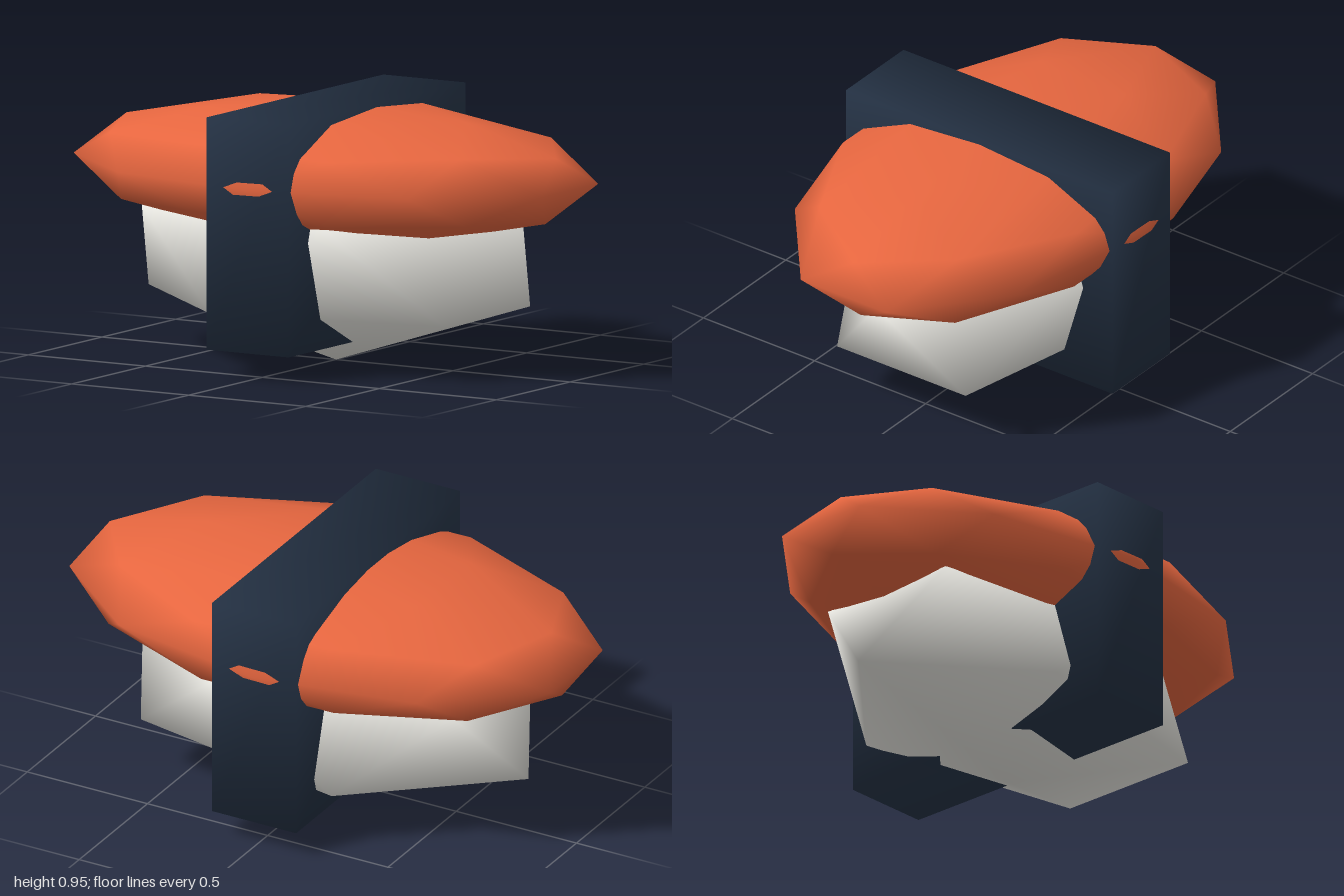
import * as THREE from 'three';
import { mergeVertices } from 'three/addons/utils/BufferGeometryUtils.js';

const material = (name, color) => {
  const m = new THREE.MeshStandardMaterial({ color });
  m.name = name;
  return m;
};

// Smooth, stretched icosphere with a vertex at the top and one at the bottom
function stretchedBall(detail, sx, sy, sz) {
  let g = new THREE.IcosahedronGeometry(1, detail);
  g.rotateZ(-Math.atan(2 / (1 + Math.sqrt(5))));
  g.scale(sx, sy, sz);
  g.deleteAttribute('normal');
  g.deleteAttribute('uv');
  g = mergeVertices(g, 1e-3);
  g.computeVertexNormals();
  return g;
}

// Box whose shading flows smoothly round its corners
function smoothBox(w, h, d) {
  const g = new THREE.BoxGeometry(w, h, d);
  const p = g.attributes.position, n = g.attributes.normal;
  const k = 1 / Math.sqrt(3);
  for (let i = 0; i < p.count; i++) {
    n.setXYZ(i, Math.sign(p.getX(i)) * k, Math.sign(p.getY(i)) * k, Math.sign(p.getZ(i)) * k);
  }
  return g;
}

export function createModel() {
  const group = new THREE.Group();
  group.name = 'sushi';

  const add = (name, geometry, mat, y) => {
    const mesh = new THREE.Mesh(geometry, mat);
    mesh.name = name;
    mesh.position.y = y;
    group.add(mesh);
  };

  // Rice block
  add('rice', stretchedBall(0, 0.895, 0.38, 0.55), material('riceWhite', 0xe6e5df), 0.38);
  // Fish slice lying on the rice
  add('fishSlice', stretchedBall(1, 1.0515, 0.25, 0.62), material('salmonOrange', 0xe6663f), 0.7);
  // Seaweed band round the middle
  add('seaweedBand', smoothBox(0.35, 0.85, 1.2), material('seaweedNavy', 0x233042), 0.525);

  return group;
}
